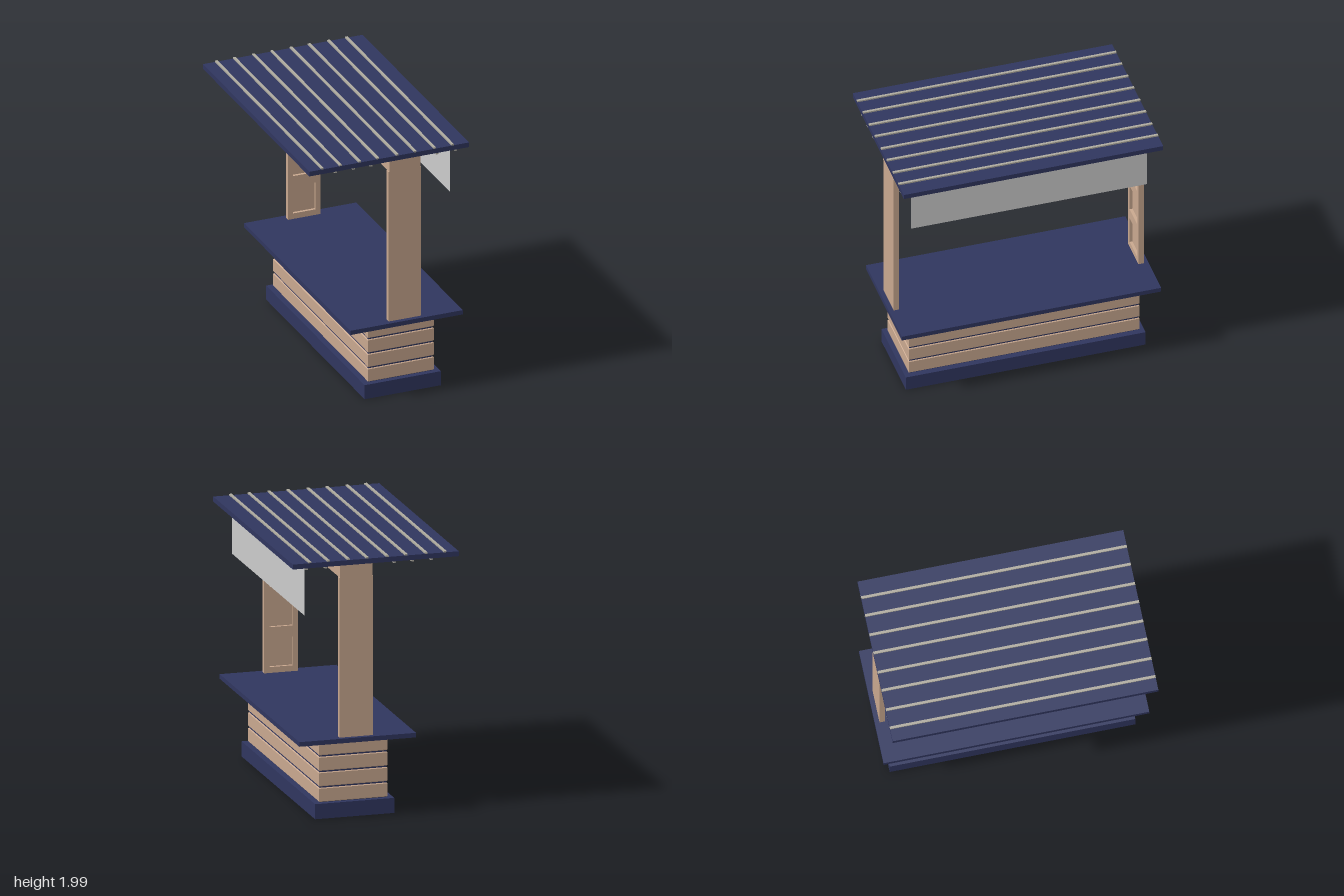
import * as THREE from 'three';

const mat = (color) => new THREE.MeshStandardMaterial({ color, flatShading: true });

export function createModel() {
  const model = new THREE.Group();
  const navy = mat(0x30365f);
  const wood = mat(0xc9a88f);
  const trim = mat(0xaeaa9f);
  const grey = mat(0xcccccc);
  grey.side = THREE.DoubleSide;

  const add = (name, geometry, material, parent = model) => {
    const mesh = new THREE.Mesh(geometry, material);
    mesh.name = name;
    parent.add(mesh);
    return mesh;
  };
  // Box given by its limits on each axis
  const box = (name, material, [x0, x1], [y0, y1], [z0, z1], parent) => {
    const mesh = add(name, new THREE.BoxGeometry(x1 - x0, y1 - y0, z1 - z0), material, parent);
    mesh.position.set((x0 + x1) / 2, (y0 + y1) / 2, (z0 + z1) / 2);
    return mesh;
  };
  const rect = (Type, x0, x1, y0, y1) => {
    const path = new Type();
    path.moveTo(x0, y0).lineTo(x1, y0).lineTo(x1, y1).lineTo(x0, y1).closePath();
    return path;
  };

  // Plinth, counter core (shows as dark grooves) and counter top
  box('plinth', navy, [-0.165, 0.445], [0, 0.115], [-0.925, 0.925]);
  box('counterCore', navy, [-0.118, 0.398], [0.115, 0.585], [-0.883, 0.883]);
  box('counterTop', navy, [-0.31, 0.59], [0.585, 0.62], [-1, 1]);

  // Stacked planks with small chamfers around the counter
  const bevel = 0.006;
  const plankShape = rect(THREE.Shape, -0.125 + bevel, 0.405 - bevel, -0.89 + bevel, 0.89 - bevel);
  for (let i = 0; i < 4; i++) {
    const plank = new THREE.ExtrudeGeometry(plankShape, {
      depth: 0.108 - 2 * bevel, bevelEnabled: true, bevelSize: bevel,
      bevelThickness: bevel, bevelSegments: 1,
    });
    plank.rotateX(-Math.PI / 2);
    add('plank', plank, wood).position.y = 0.118 + i * 0.1185 + bevel;
  }

  // Posts: plain outer board, inner frame with four square recesses
  for (const side of [1, -1]) {
    const post = new THREE.Group();
    post.name = side > 0 ? 'frontPost' : 'backPost';
    model.add(post);
    const outer = [0.945, 0.965].map((z) => z * side).sort((a, b) => a - b);
    box('postBoard', wood, [0.01, 0.27], [0.62, 1.84], outer, post);
    const frame = rect(THREE.Shape, 0.01, 0.27, 0.62, 1.84);
    for (let i = 0; i < 4; i++) {
      const y = 0.665 + i * 0.305;
      frame.holes.push(rect(THREE.Path, 0.05, 0.23, y, y + 0.22));
    }
    const frameGeometry = new THREE.ExtrudeGeometry(frame, { depth: 0.022, bevelEnabled: false });
    add('postFrame', frameGeometry, wood, post).position.z = side > 0 ? 0.923 : -0.945;
  }

  // Header beam joining the posts, with a light strip below it
  box('headerBeam', wood, [0.015, 0.265], [1.84, 1.94], [-0.968, 0.968]);
  box('lightStrip', grey, [0.09, 0.19], [1.82, 1.84], [-0.922, 0.922]);

  // Roof slab with ribs above and below
  box('roof', navy, [-0.64, 0.64], [1.943, 1.981], [-1, 1]);
  for (const x of [-0.535, -0.39, -0.235, -0.09, 0.065, 0.21, 0.365, 0.508]) {
    box('roofRib', trim, [x - 0.01, x + 0.01], [1.981, 1.992], [-1, 1]);
  }
  for (const x of [-0.43, -0.285, -0.145, 0.385, 0.535]) {
    box('ceilingRib', trim, [x - 0.01, x + 0.01], [1.932, 1.943], [-1, 1]);
  }

  // Thin hanging sign board
  const sign = add('signBoard', new THREE.PlaneGeometry(1.82, 0.38), grey);
  sign.rotation.y = Math.PI / 2;
  sign.position.set(0.524, 1.75, 0);

  return model;
}
